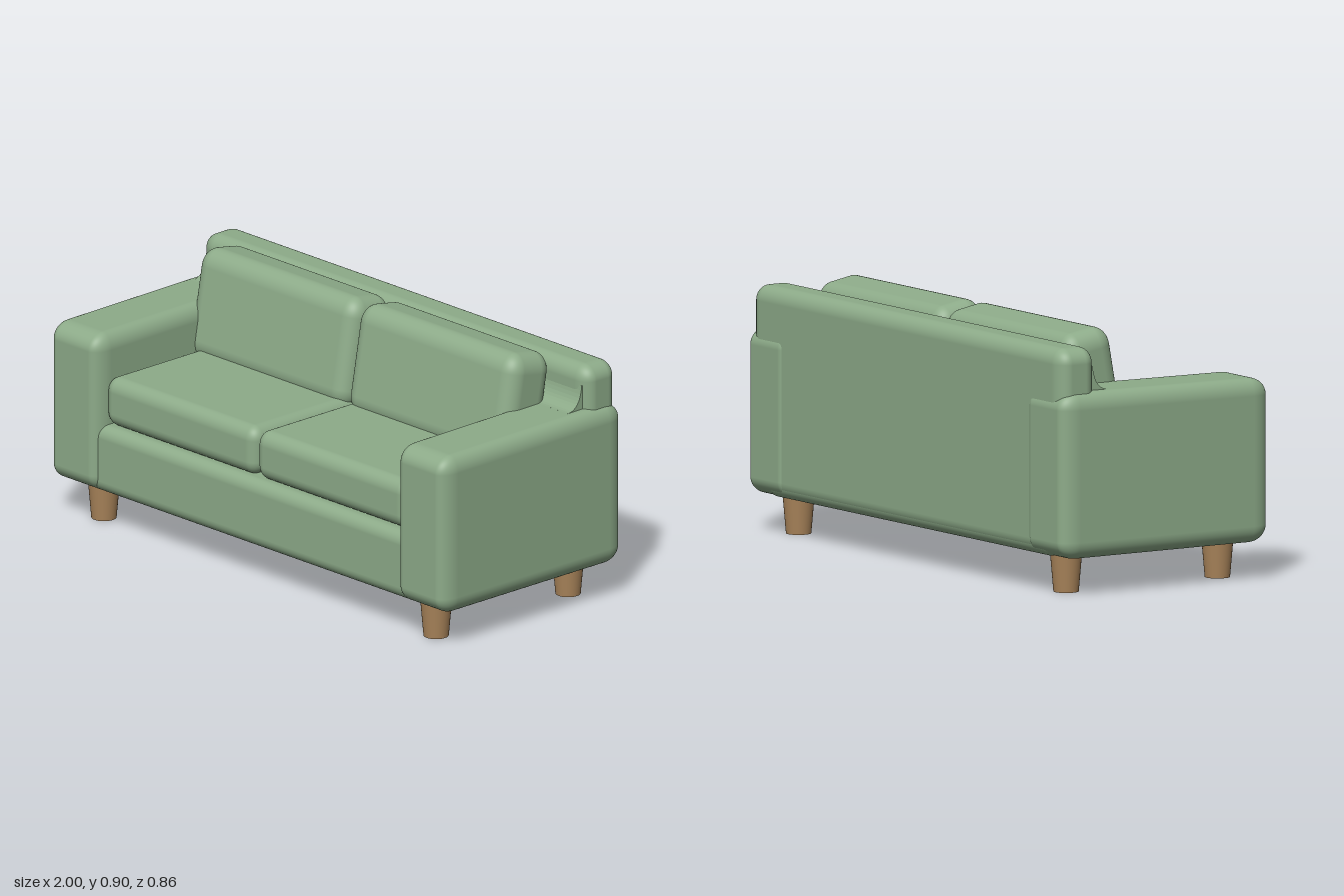
import * as THREE from 'three';
import { RoundedBoxGeometry } from 'three/addons/geometries/RoundedBoxGeometry.js';

const fabric = new THREE.MeshStandardMaterial({ color: 0x8dab89 });
fabric.name = 'sage fabric';
const wood = new THREE.MeshStandardMaterial({ color: 0xa9845a });
wood.name = 'light wood';

// Box with a separate rounding radius along each axis
function softBox(w, h, d, rx, ry, rz) {
  return new RoundedBoxGeometry(w / rx, h / ry, d / rz, 6, 1).scale(rx, ry, rz);
}

function add(parent, name, geometry, material, x, y, z) {
  const mesh = new THREE.Mesh(geometry, material);
  mesh.name = name;
  mesh.position.set(x, y, z);
  parent.add(mesh);
  return mesh;
}

// Concave sweep joining an arm to the backrest
function blendGeometry(length) {
  const shape = new THREE.Shape();
  shape.moveTo(-0.31, 0.69);
  shape.lineTo(-0.21, 0.69);
  shape.lineTo(-0.21, 0.714);
  shape.quadraticCurveTo(-0.268, 0.714, -0.277, 0.8);
  shape.lineTo(-0.31, 0.8);
  const g = new THREE.ExtrudeGeometry(shape, { depth: length, bevelEnabled: false, curveSegments: 10 });
  return g.translate(0, 0, -length / 2).rotateY(-Math.PI / 2);
}

export function createModel() {
  const sofa = new THREE.Group();
  sofa.name = 'sofa';

  // Frame
  add(sofa, 'base', softBox(1.8, 0.246, 0.835, 0.05, 0.045, 0.04), fabric, 0, 0.255, -0.005);
  add(sofa, 'backrest', softBox(1.95, 0.733, 0.152, 0.06, 0.055, 0.048), fabric, 0, 0.5015, -0.35);

  // Arm tops fall slightly toward the front
  const arm = softBox(0.25, 0.584, 0.864, 0.045, 0.06, 0.07);
  const p = arm.attributes.position;
  for (let i = 0; i < p.count; i++) {
    if (p.getY(i) > 0) p.setY(i, p.getY(i) - 0.008 * (p.getZ(i) / 0.864 + 0.5));
  }
  const blend = blendGeometry(0.19);
  const leg = new THREE.CylinderGeometry(0.057, 0.044, 0.15, 32);

  for (const side of [1, -1]) {
    const label = side > 0 ? 'left' : 'right';
    add(sofa, label + 'Arm', arm, fabric, side * 0.875, 0.424, 0);
    add(sofa, label + 'ArmBlend', blend, fabric, side * 0.852, 0, 0);

    // Loose cushions
    add(sofa, label + 'SeatCushion', softBox(0.762, 0.178, 0.64, 0.045, 0.05, 0.045), fabric, side * 0.381, 0.466, 0.07);
    const back = add(sofa, label + 'BackCushion', softBox(0.8, 0.4, 0.2, 0.06, 0.07, 0.06), fabric, side * 0.401, 0.698, -0.159);
    back.rotation.x = -0.18;

    // Tapered legs
    for (const end of [1, -1]) {
      add(sofa, label + (end > 0 ? 'Front' : 'Rear') + 'Leg', leg, wood, side * 0.838, 0.075, end * 0.315);
    }
  }
  return sofa;
}
